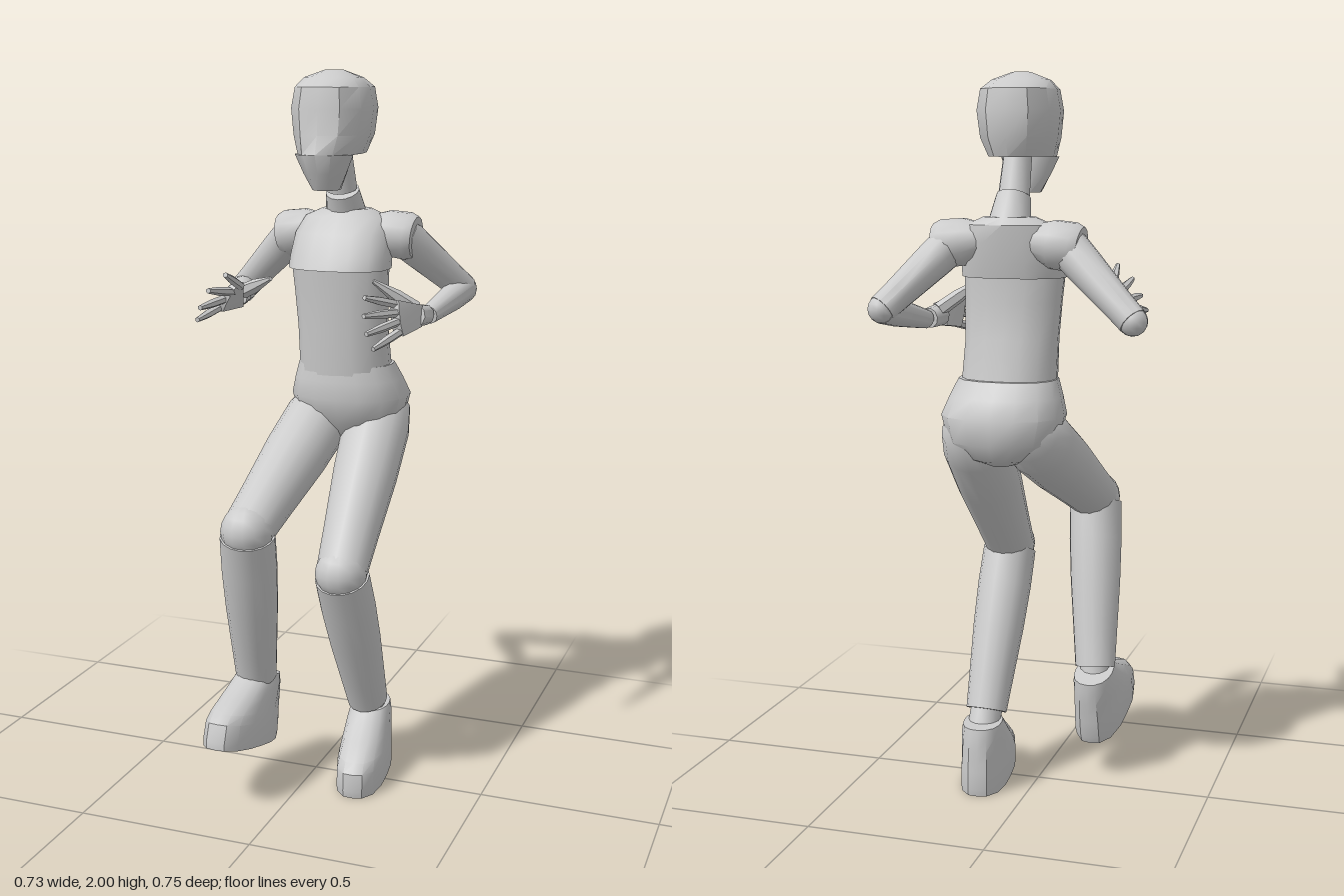
import * as THREE from 'three';
import { toCreasedNormals } from 'three/addons/utils/BufferGeometryUtils.js';
import { ConvexGeometry } from 'three/addons/geometries/ConvexGeometry.js';

const mat = new THREE.MeshStandardMaterial({ color: 0xcccccc });
const V = (p) => new THREE.Vector3(...p);

function add(parent, name, geo, crease = 0.75) {
  const mesh = new THREE.Mesh(toCreasedNormals(geo, crease), mat);
  mesh.name = name;
  parent.add(mesh);
  return mesh;
}

// Stack of horizontal superellipse rings: [y, halfWidth, zBack, zFront, roundness, centreX]
function loft(rows, n = 16) {
  const mid = ([y, , b, f, , cx]) => [y, 0, (b + f) / 2, (b + f) / 2, 2, cx];
  const all = [mid(rows[0]), ...rows, mid(rows[rows.length - 1])];
  const pos = [], idx = [];
  all.forEach(([y, rx, b, f, e = 2.4, cx = 0]) => {
    for (let j = 0; j < n; j++) {
      const t = (j / n) * Math.PI * 2, s = Math.sin(t), c = Math.cos(t);
      const k = Math.pow(Math.abs(s) ** e + Math.abs(c) ** e, -1 / e);
      pos.push(cx + s * k * rx, y, (b + f) / 2 + c * k * (f - b) / 2);
    }
  });
  const last = all.length - 2;
  for (let i = 0; i <= last; i++) {
    for (let j = 0; j < n; j++) {
      const a = i * n + j, b = i * n + (j + 1) % n;
      if (i > 0) idx.push(a, b, b + n);
      if (i < last) idx.push(a, b + n, a + n);
    }
  }
  const g = new THREE.BufferGeometry();
  g.setAttribute('position', new THREE.Float32BufferAttribute(pos, 3));
  g.setIndex(idx);
  return g;
}

// Turned limb from point a to point b; profile holds [fraction along, radius]
function limb(parent, name, a, b, profile, segs = 14) {
  const A = V(a), dir = V(b).sub(A), len = dir.length();
  const pts = profile.map(([t, r]) => new THREE.Vector2(r, t * len));
  pts.unshift(new THREE.Vector2(0, pts[0].y));
  pts.push(new THREE.Vector2(0, pts[pts.length - 1].y));
  const mesh = add(parent, name, new THREE.LatheGeometry(pts, segs));
  mesh.position.copy(A);
  mesh.quaternion.setFromUnitVectors(new THREE.Vector3(0, 1, 0), dir.normalize());
  return mesh;
}

function addTorso(g) {
  const C = 0.032;
  add(g, 'pelvis', loft([
    [0.965, 0.035, -0.23, -0.12, 2, 0.045], [0.985, 0.09, -0.275, -0.09, 2, 0.045],
    [1.03, 0.15, -0.3, -0.05, 2.3, 0.045], [1.1, 0.168, -0.307, -0.03, 2.4, 0.045],
    [1.15, 0.152, -0.28, -0.033, 2.4, 0.042], [1.195, 0.135, -0.247, -0.038, 2.4, 0.04]]));
  add(g, 'abdomen', loft([
    [1.16, 0.13, -0.24, -0.036, 2.4, 0.04], [1.3, 0.127, -0.21, -0.026, 2.4, 0.037],
    [1.4, 0.132, -0.198, -0.02, 2.4, 0.035], [1.49, 0.138, -0.2, -0.012, 2.4, C]]));
  add(g, 'chest', loft([
    [1.465, 0.142, -0.208, 0.002, 2.6, C], [1.5, 0.141, -0.215, -0.012, 2.6, C],
    [1.56, 0.135, -0.225, -0.045, 2.6, C], [1.605, 0.115, -0.23, -0.08, 2.4, C],
    [1.625, 0.07, -0.215, -0.1, 2.2, C]]));
  // Neck in two tilted pieces
  limb(g, 'lowerNeck', [C, 1.59, -0.165], [C, 1.675, -0.12], [[0, 0.06], [1, 0.047]]);
  limb(g, 'upperNeck', [C, 1.68, -0.117], [C, 1.79, -0.08], [[0, 0.042], [1, 0.038]]);
}

function addHead(g) {
  add(g, 'head', loft([
    [1.685, 0.036, -0.06, 0.035, 2.2], [1.73, 0.06, -0.06, 0.06, 1.9],
    [1.78, 0.083, -0.06, 0.08, 1.8], [1.78, 0.085, -0.19, 0.08, 2.1],
    [1.83, 0.102, -0.207, 0.064, 2.3], [1.9, 0.11, -0.21, 0.06, 2.4],
    [1.955, 0.1, -0.203, 0.052, 2.4], [1.98, 0.077, -0.15, 0.02, 2.3],
    [2.0, 0.025, -0.09, -0.045, 2]], 12), 0.6).position.x = 0.026;
}

// One arm with shoulder cap, forearm and spread hand
function addArm(g, side, p) {
  const arm = new THREE.Group();
  arm.name = side + 'Arm';
  g.add(arm);
  limb(arm, side + 'Shoulder', p.collar, p.cap, [[0, 0.04], [0.45, 0.064], [0.85, 0.066], [1, 0.057]]);
  limb(arm, side + 'UpperArm', p.shoulder, p.elbow, [[0, 0.055], [0.25, 0.052], [0.8, 0.042], [1, 0.04]]);
  const elbow = add(arm, side + 'Elbow', new THREE.SphereGeometry(0.038, 12, 8));
  elbow.position.set(...p.elbow);
  limb(arm, side + 'Forearm', p.elbow, p.wrist, [[0, 0.039], [0.35, 0.038], [1, 0.026]]);
  limb(arm, side + 'Wrist', p.cuff[0], p.cuff[1], [[0, 0.028], [1, 0.031]], 10);

  // Palm: hull from the cuff to the row of knuckles
  const hull = [];
  for (const s of [-0.013, 0.013]) {
    for (const dy of [-0.03, 0.03]) hull.push(V(p.cuff[1]).add(V([s * 1.5, dy, 0])));
    for (const [i, dy] of [[0, 0.01], [1, 0.008], [2, -0.006], [3, -0.01]]) {
      hull.push(V(p.knuckles[i]).add(V([s, dy, 0])));
    }
  }
  add(arm, side + 'Palm', new ConvexGeometry(hull), 0.4);
  p.knuckles.forEach((k, i) => {
    limb(arm, side + 'Finger' + (i + 1), k, p.tips[i], [[-0.08, 0.012], [0.5, 0.012], [1, 0.007]], 6);
  });
  limb(arm, side + 'Thumb', p.thumb[0], p.thumb[1], [[0, 0.021], [0.45, 0.019], [1, 0.006]], 6);
}

// One leg with a separate knee joint
function addLeg(g, side, p) {
  const leg = new THREE.Group();
  leg.name = side + 'Leg';
  g.add(leg);
  limb(leg, side + 'Thigh', p.hip, p.knee,
    [[-0.12, 0.055], [-0.05, 0.083], [0.1, 0.095], [0.4, 0.091], [0.75, 0.078], [1, 0.07]], 16);
  const knee = add(leg, side + 'Knee', new THREE.SphereGeometry(0.073, 14, 10));
  knee.position.set(...p.knee);
  limb(leg, side + 'Shin', p.knee, p.ankle,
    [[0.03, 0.076], [0.25, 0.077], [0.5, 0.073], [0.8, 0.064], [1, 0.058]], 16);
  limb(leg, side + 'Ankle', p.ankle, p.joint, [[-0.2, 0.045], [1, 0.045]], 12);

  const foot = new THREE.Group();
  foot.name = side + 'Foot';
  foot.position.set(...p.foot);
  foot.rotation.set(p.pitch, p.yaw, 0, 'YXZ');
  leg.add(foot);
  add(foot, side + 'Shoe', loft([
    [0, 0.066, -0.183, 0.153, 2.8], [0.02, 0.068, -0.186, 0.157, 2.8],
    [0.07, 0.068, -0.185, 0.153, 2.7], [0.095, 0.066, -0.183, 0.13, 2.6],
    [0.13, 0.063, -0.182, 0.075, 2.5], [0.165, 0.06, -0.178, 0.018, 2.4],
    [0.193, 0.055, -0.173, -0.018, 2.3]]), 0.6);
}

export function createModel() {
  const g = new THREE.Group();
  g.name = 'mannequin';
  addTorso(g);
  addHead(g);
  addArm(g, 'left', {
    collar: [0.085, 1.565, -0.168], cap: [0.232, 1.55, -0.165],
    shoulder: [0.19, 1.555, -0.165], elbow: [0.325, 1.39, -0.335], wrist: [0.285, 1.343, -0.12],
    cuff: [[0.28, 1.345, -0.108], [0.267, 1.35, -0.055]],
    knuckles: [[0.235, 1.393, 0.035], [0.24, 1.37, 0.045], [0.245, 1.345, 0.045], [0.25, 1.317, 0.035]],
    tips: [[0.186, 1.42, 0.135], [0.193, 1.375, 0.16], [0.203, 1.33, 0.168], [0.216, 1.288, 0.15]],
    thumb: [[0.262, 1.365, -0.075], [0.162, 1.445, -0.005]],
  });
  addArm(g, 'right', {
    collar: [-0.025, 1.565, -0.168], cap: [-0.168, 1.545, -0.172],
    shoulder: [-0.13, 1.55, -0.17], elbow: [-0.33, 1.37, -0.265], wrist: [-0.242, 1.385, -0.048],
    cuff: [[-0.232, 1.387, -0.025], [-0.224, 1.39, 0.03]],
    knuckles: [[-0.185, 1.43, 0.1], [-0.207, 1.413, 0.112], [-0.23, 1.39, 0.112], [-0.248, 1.365, 0.1]],
    tips: [[-0.168, 1.475, 0.23], [-0.205, 1.435, 0.258], [-0.232, 1.388, 0.253], [-0.255, 1.35, 0.222]],
    thumb: [[-0.213, 1.4, 0.015], [-0.095, 1.452, 0.095]],
  });
  addLeg(g, 'left', {
    hip: [0.125, 1.045, -0.19], knee: [0.127, 0.66, 0.14], ankle: [0.137, 0.215, -0.062],
    joint: [0.14, 0.16, -0.09], foot: [0.148, 0, 0], pitch: 0, yaw: 0.12,
  });
  addLeg(g, 'right', {
    hip: [-0.04, 1.045, -0.18], knee: [-0.1, 0.79, 0.26], ankle: [-0.14, 0.315, 0.112],
    joint: [-0.145, 0.24, 0.095], foot: [-0.15, 0.15, 0.225], pitch: -0.26, yaw: -0.04,
  });
  return g;
}
